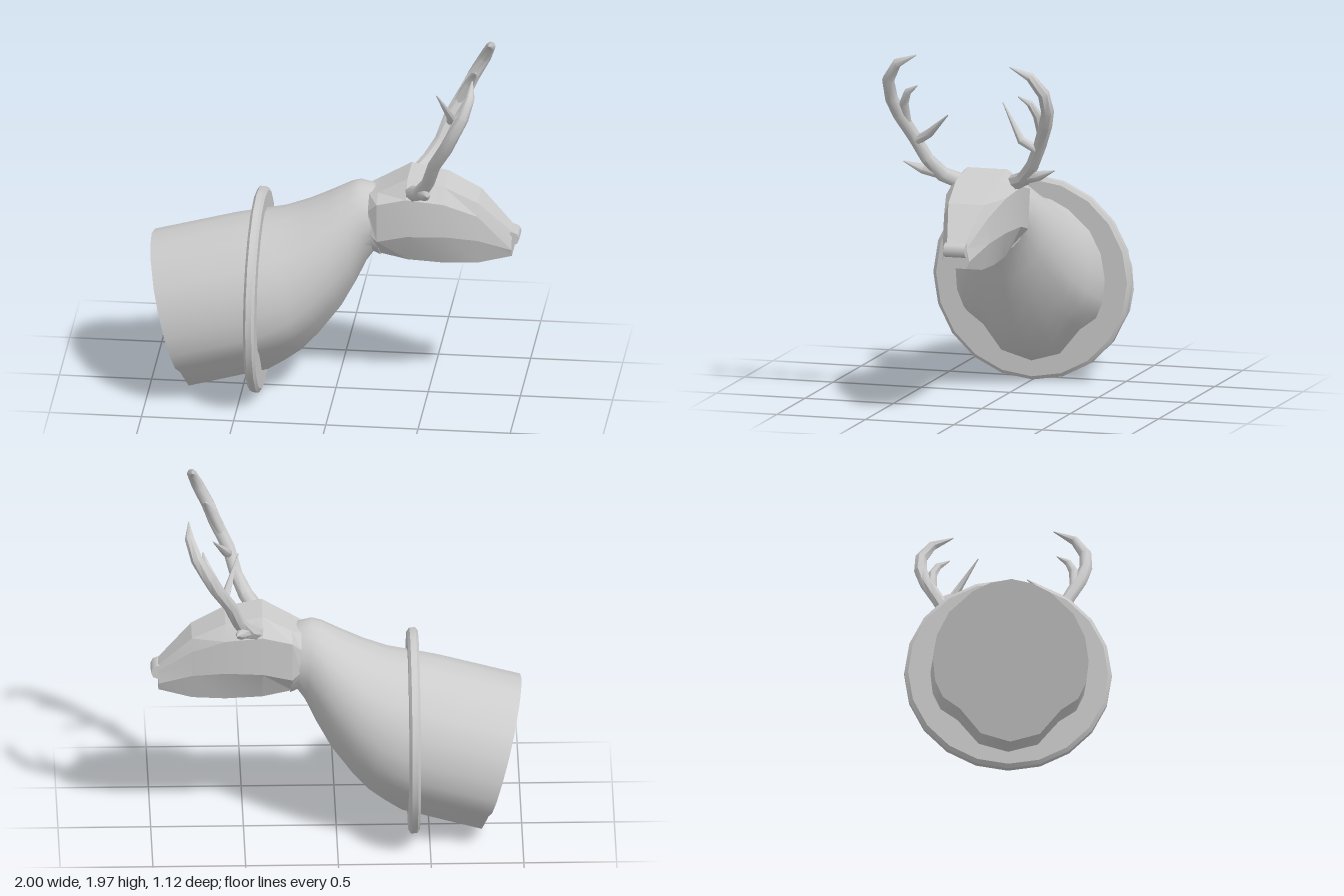
import * as THREE from 'three';
import { toCreasedNormals } from 'three/addons/utils/BufferGeometryUtils.js';

const V = (x, y, z) => new THREE.Vector3(x, y, z);
const material = new THREE.MeshStandardMaterial({ color: 0xcccccc });

// Skin closed rings (counter-clockwise seen from the far end) and cap both ends.
function loft(name, rings, crease) {
  const n = rings[0].length;
  const points = rings.flat();
  const index = [];
  for (let r = 0; r < rings.length - 1; r++) {
    for (let i = 0; i < n; i++) {
      const j = (i + 1) % n;
      const a = r * n + i, b = r * n + j, c = b + n, d = a + n;
      index.push(a, b, c, a, c, d);
    }
  }
  [0, rings.length - 1].forEach((r, end) => {
    const centre = V(0, 0, 0);
    rings[r].forEach((p) => centre.addScaledVector(p, 1 / n));
    const c = points.push(centre) - 1;
    for (let i = 0; i < n; i++) {
      const a = r * n + i, b = r * n + (i + 1) % n;
      if (end) index.push(c, a, b);
      else index.push(c, b, a);
    }
  });
  const geometry = new THREE.BufferGeometry().setFromPoints(points);
  geometry.setIndex(index);
  geometry.computeVertexNormals();
  const mesh = new THREE.Mesh(toCreasedNormals(geometry, crease), material);
  mesh.name = name;
  return mesh;
}

// Tapered tube through points given as [x, y, z, radius].
function branch(name, path, sides = 7) {
  const pts = path.map((p) => V(p[0], p[1], p[2]));
  const rings = pts.map((p, i) => {
    const t = pts[Math.min(i + 1, pts.length - 1)].clone()
      .sub(pts[Math.max(i - 1, 0)]).normalize();
    const n = V(1, 0, 0).addScaledVector(t, -t.x).normalize();
    const b = t.clone().cross(n);
    return Array.from({ length: sides }, (_, k) => {
      const a = (k / sides) * Math.PI * 2;
      return p.clone().addScaledVector(n, Math.cos(a) * path[i][3])
        .addScaledVector(b, Math.sin(a) * path[i][3]);
    });
  });
  return loft(name, rings, 0.9);
}

// Neck: one chest outline swept from the slanted back to the throat.
function buildNeck() {
  // half outline, top to bottom: [half width, height], both 0..1
  const half = [[0, 1], [0.27, 0.975], [0.5, 0.92], [0.8, 0.79], [0.95, 0.65], [1, 0.5],
    [0.97, 0.37], [0.87, 0.27], [0.65, 0.2], [0.38, 0.05], [0, 0]];
  const outline = [...half, ...half.slice(1, -1).reverse().map(([u, v]) => [-u, v])];
  // [top x, top y, bottom x, bottom y, half width, roundness]
  const stations = [
    [-1, 0.87, -0.77, 0.01, 0.42, 0],
    [-0.56, 0.99, -0.34, 0.13, 0.42, 0],
    [-0.42, 1.02, -0.25, 0.19, 0.41, 0.05],
    [-0.28, 1.05, -0.17, 0.25, 0.38, 0.15],
    [-0.15, 1.1, -0.08, 0.35, 0.34, 0.3],
    [-0.03, 1.16, 0.03, 0.5, 0.285, 0.5],
    [0.08, 1.22, 0.11, 0.65, 0.225, 0.75],
    [0.13, 1.235, 0.17, 0.78, 0.19, 0.9],
    [0.2, 1.22, 0.21, 0.84, 0.17, 1],
    [0.23, 1.2, 0.25, 0.82, 0.165, 1],
  ];
  const rings = stations.map(([tx, ty, bx, by, w, round]) => outline.map(([u, v], i) => {
    const a = (i / outline.length) * Math.PI * 2;
    const uu = THREE.MathUtils.lerp(u, Math.sin(a), round);
    const vv = THREE.MathUtils.lerp(v, 0.5 + 0.5 * Math.cos(a), round);
    return V(bx + (tx - bx) * vv, by + (ty - by) * vv, uu * w);
  }));
  return loft('neck', rings, 0.9);
}

// Head: faceted eight-sided sections along x.
function buildHead() {
  // x, then [half width, height] of crown, brow, cheek and jaw
  const stations = [
    [0.19, [0.09, 1.2], [0.16, 1.13], [0.165, 1.0], [0.08, 0.92]],
    [0.24, [0.11, 1.22], [0.19, 1.18], [0.18, 0.96], [0.09, 0.86]],
    [0.4, [0.115, 1.31], [0.195, 1.22], [0.19, 1.0], [0.1, 0.83]],
    [0.6, [0.115, 1.27], [0.17, 1.19], [0.17, 1.0], [0.1, 0.82]],
    [0.78, [0.1, 1.18], [0.125, 1.11], [0.13, 0.97], [0.09, 0.825]],
    [0.96, [0.05, 1.0], [0.06, 0.97], [0.075, 0.9], [0.06, 0.86]],
  ];
  const rings = stations.map(([x, ...half]) => [
    ...half.map(([z, y]) => V(x, y, z)),
    ...half.reverse().map(([z, y]) => V(x, y, -z)),
  ]);
  return loft('head', rings, 0.2);
}

// Antler: main beam with three tines; the right one leans slightly forward.
function buildAntler(side) {
  const place = ([x, y, z, r]) => {
    const t = side < 0 ? (y - 1.25) / 0.7 : 0;
    return [x + 0.03 * t, y - 0.03 * t, side * (z - 0.03 * t), r];
  };
  const parts = {
    beam: [[0.42, 1.23, 0.13, 0.045], [0.48, 1.28, 0.23, 0.042], [0.53, 1.37, 0.3, 0.036],
      [0.57, 1.5, 0.365, 0.036], [0.64, 1.63, 0.425, 0.038], [0.68, 1.72, 0.455, 0.036],
      [0.735, 1.83, 0.455, 0.034], [0.77, 1.93, 0.395, 0.026], [0.77, 1.98, 0.285, 0.003]],
    browTine: [[0.48, 1.28, 0.23, 0.032], [0.52, 1.31, 0.33, 0.028], [0.54, 1.35, 0.43, 0.003]],
    innerTine: [[0.57, 1.47, 0.35, 0.026], [0.59, 1.52, 0.27, 0.024],
      side > 0 ? [0.66, 1.64, 0.14, 0.003] : [0.51, 1.72, 0.15, 0.003]],
    upperTine: [[0.6, 1.56, 0.39, 0.026], [0.66, 1.69, 0.39, 0.026],
      [0.69, 1.76, 0.36, 0.02], [0.7, 1.8, 0.3, 0.003]],
  };
  const group = new THREE.Group();
  group.name = side > 0 ? 'leftAntler' : 'rightAntler';
  for (const [name, path] of Object.entries(parts)) group.add(branch(name, path.map(place)));
  return group;
}

// Mounting plaque: disc with bevelled rim, facing along x.
function buildPlaque() {
  const profile = [[0, -0.03], [0.54, -0.03], [0.56, -0.016], [0.56, 0.016], [0.54, 0.03], [0, 0.03]]
    .map(([r, h]) => new THREE.Vector2(r, h));
  const plaque = new THREE.Mesh(
    toCreasedNormals(new THREE.LatheGeometry(profile, 20), 0.4), material);
  plaque.name = 'plaque';
  plaque.rotation.z = -Math.PI / 2;
  plaque.position.set(-0.415, 0.57, 0);
  return plaque;
}

export function createModel() {
  const model = new THREE.Group();
  model.name = 'mountedDeerHead';
  model.add(buildPlaque(), buildNeck(), buildHead(), buildAntler(1), buildAntler(-1));

  // Nose pad across the muzzle tip
  const nose = new THREE.Mesh(new THREE.CylinderGeometry(0.04, 0.04, 0.12, 8), material);
  nose.name = 'nose';
  nose.rotation.x = Math.PI / 2;
  nose.position.set(0.96, 0.96, 0);
  model.add(nose);
  return model;
}
